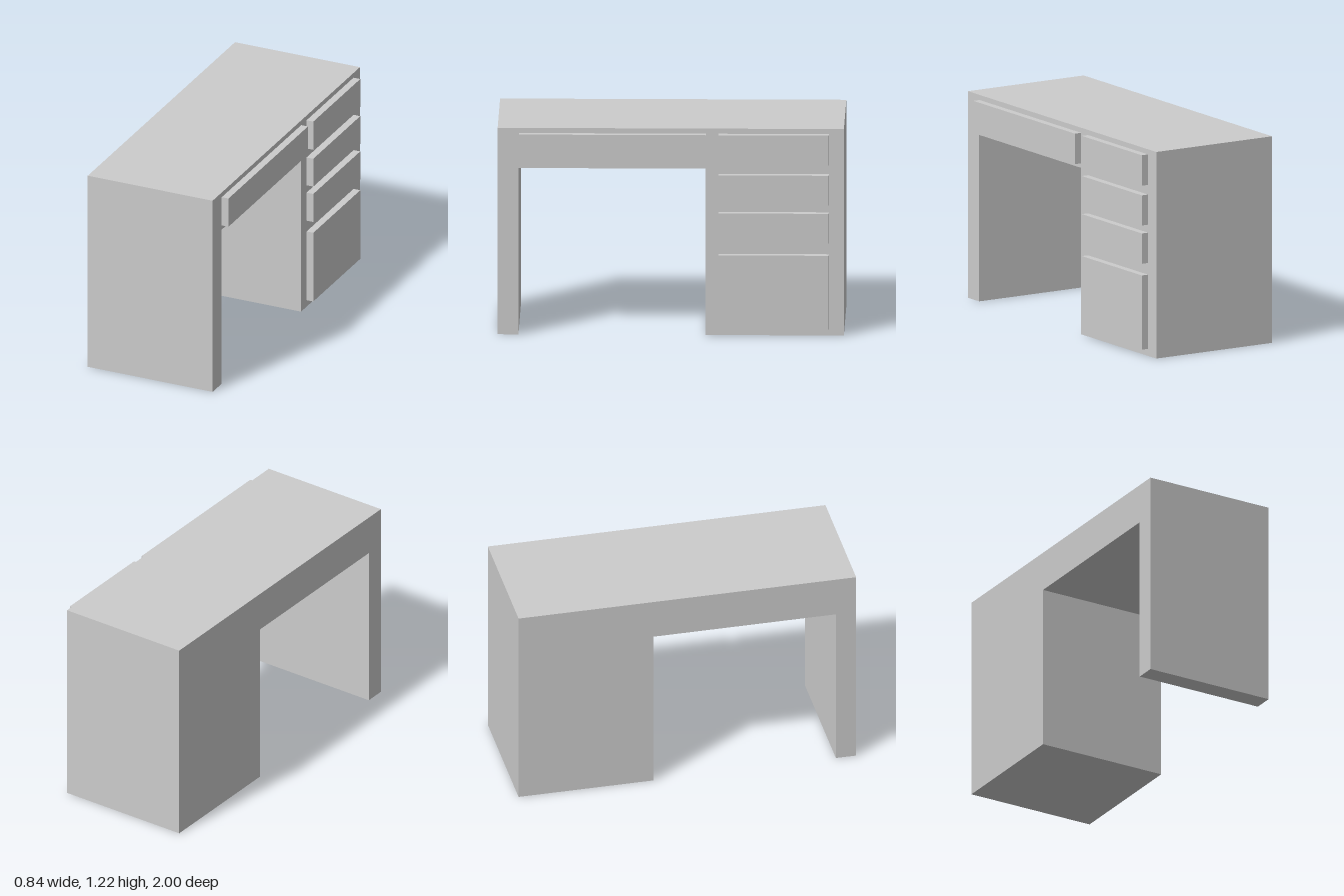
import * as THREE from 'three';

const material = new THREE.MeshStandardMaterial({ color: 0xcccccc, flatShading: true });
const BACK_X = -0.42, FACE_X = 0.377, FRONT_X = 0.42;

// Drawer front on the +x face, given its z and y ranges
function drawerFront(name, z0, z1, y0, y1) {
  const mesh = new THREE.Mesh(new THREE.BoxGeometry(FRONT_X - FACE_X, y1 - y0, z1 - z0), material);
  mesh.position.set((FACE_X + FRONT_X) / 2, (y0 + y1) / 2, (z0 + z1) / 2);
  mesh.name = name;
  return mesh;
}

export function createModel() {
  const desk = new THREE.Group();
  desk.name = 'desk';

  // Carcass: side panel, top and drawer pedestal as one outline (u = -z) extruded along x
  const outline = new THREE.Shape([
    [-1, 0], [-0.88, 0], [-0.88, 0.983], [0.2, 0.983], [0.2, 0], [1, 0], [1, 1.22], [-1, 1.22],
  ].map(([u, y]) => new THREE.Vector2(u, y)));
  const geometry = new THREE.ExtrudeGeometry(outline, { depth: FACE_X - BACK_X, bevelEnabled: false });
  geometry.rotateY(Math.PI / 2).translate(BACK_X, 0, 0);
  const carcass = new THREE.Mesh(geometry, material);
  carcass.name = 'carcass';
  desk.add(carcass);

  // Wide drawer above the knee space
  desk.add(drawerFront('wideDrawer', -0.203, 0.877, 1.01, 1.19));

  // Pedestal drawers, top to bottom
  [[1.01, 1.19], [0.775, 0.953], [0.549, 0.728], [0.042, 0.48]].forEach(([y0, y1], i) => {
    desk.add(drawerFront(`pedestalDrawer${i + 1}`, -0.913, -0.275, y0, y1));
  });

  return desk;
}
